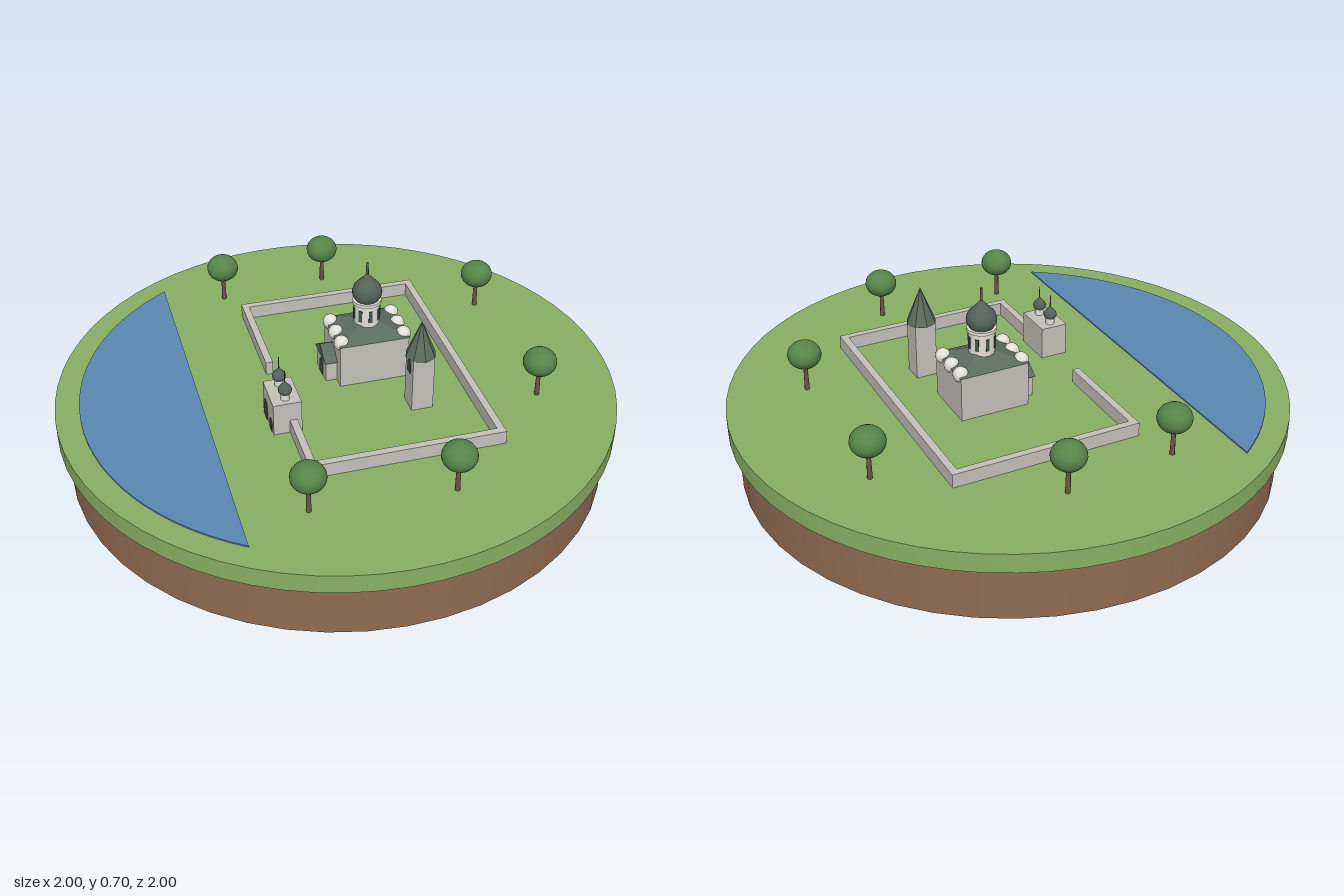
import * as THREE from 'three';

const mat = (name, color, opts = {}) => {
  const m = new THREE.MeshStandardMaterial({ color, ...opts });
  m.name = name;
  return m;
};

export function createModel() {
  const M = {
    soil: mat('soil', 0x8f6b52),
    grass: mat('grass', 0x88af64),
    water: mat('water', 0x5b87b3),
    stone: mat('stone', 0xc4c1ba),
    plaster: mat('plaster', 0xe4e1da),
    roof: mat('roof', 0x5c6b60, { flatShading: true }),
    dome: mat('dome', 0x55625a),
    opening: mat('opening', 0x46524c),
    bark: mat('bark', 0x6b5744),
    leaf: mat('leaf', 0x568549),
  };
  const model = new THREE.Group();
  model.name = 'islandMonastery';

  // Small helpers: y is the underside of the part
  const add = (parent, name, geo, material, x = 0, y = 0, z = 0) => {
    const mesh = new THREE.Mesh(geo, material);
    mesh.name = name;
    mesh.position.set(x, y, z);
    parent.add(mesh);
    return mesh;
  };
  const group = (parent, name, x, y, z) => {
    const g = new THREE.Group();
    g.name = name;
    g.position.set(x, y, z);
    parent.add(g);
    return g;
  };
  const box = (parent, name, material, w, h, d, x, y, z) =>
    add(parent, name, new THREE.BoxGeometry(w, h, d), material, x, y + h / 2, z);
  const cyl = (parent, name, material, r0, r1, h, n, x, y, z) =>
    add(parent, name, new THREE.CylinderGeometry(r1, r0, h, n), material, x, y + h / 2, z);

  // Thin arched plate for doors and windows
  const arch = (parent, name, w, h, x, y, z) => {
    const s = new THREE.Shape();
    s.moveTo(-w / 2, 0);
    s.lineTo(w / 2, 0);
    s.lineTo(w / 2, h - w / 2);
    s.absarc(0, h - w / 2, w / 2, 0, Math.PI, false);
    const geo = new THREE.ExtrudeGeometry(s, { depth: 0.006, bevelEnabled: false, curveSegments: 10 });
    return add(parent, name, geo, M.opening, x, y, z - 0.003);
  };

  // Onion dome with a spike on top
  const onion = (parent, r, h, spike, x, y, z) => {
    const profile = [[0.75, 0], [0.95, 0.15], [1, 0.32], [0.88, 0.5], [0.55, 0.68], [0.22, 0.84], [0, 1]]
      .map(([a, b]) => new THREE.Vector2(a * r, b * h));
    add(parent, 'onionDome', new THREE.LatheGeometry(profile, 20), M.dome, x, y, z);
    cyl(parent, 'spike', M.bark, r * 0.1, r * 0.08, spike + h * 0.1, 6, x, y + h * 0.9, z);
  };

  // Ground disc
  cyl(model, 'soilBase', M.soil, 0.97, 0.97, 0.2, 48, 0, 0, 0);
  cyl(model, 'grassTop', M.grass, 1, 1, 0.07, 64, 0, 0.2, 0);

  // Lake: a circle segment facing the front left
  const lakeShape = new THREE.Shape();
  const mid = -Math.PI * 110 / 180;
  lakeShape.absarc(0, 0, 0.915, mid - 1, mid + 1, false);
  lakeShape.closePath();
  const lakeGeo = new THREE.ExtrudeGeometry(lakeShape, { depth: 0.006, bevelEnabled: false, curveSegments: 14 });
  lakeGeo.rotateX(-Math.PI / 2);
  add(model, 'lake', lakeGeo, M.water, 0, 0.269, 0);

  // Walled yard, turned by 20 degrees
  const yard = group(model, 'yard', 0.033, 0.27, -0.105);
  yard.rotation.y = -Math.PI / 9;
  const W = 0.5, D = 0.33, T = 0.026, H = 0.05;
  box(yard, 'backWall', M.stone, 2 * W + T, H, T, 0, 0, -D);
  for (const s of [-1, 1]) box(yard, 'sideWall', M.stone, T, H, 2 * D + T, s * W, 0, 0);
  box(yard, 'frontWallRight', M.stone, W - 0.1 + T / 2, H, T, -(W + 0.1 + T / 2) / 2, 0, D);
  box(yard, 'frontWallLeft', M.stone, W - 0.24, H, T, (W + 0.24) / 2, 0, D);

  // Gatehouse with twin cupolas
  const gate = group(yard, 'gatehouse', 0.179, 0, 0.35);
  box(gate, 'gateBody', M.stone, 0.152, 0.12, 0.1, 0, 0, 0);
  arch(gate, 'gateArch', 0.046, 0.07, -0.035, 0, 0.05);
  arch(gate, 'gateDoor', 0.032, 0.045, 0.04, 0, 0.05);
  for (const x of [-0.042, 0.042]) {
    cyl(gate, 'cupolaDrum', M.plaster, 0.016, 0.016, 0.025, 12, x, 0.12, 0);
    onion(gate, 0.024, 0.05, 0.04, x, 0.143, 0);
  }

  // Church
  const church = group(yard, 'church', -0.06, 0, -0.023);
  box(church, 'nave', M.stone, 0.21, 0.165, 0.255, 0, 0, 0);
  const hip = new THREE.CylinderGeometry(0.045, Math.SQRT1_2, 1, 4);
  hip.rotateY(Math.PI / 4);
  hip.scale(0.215, 0.045, 0.26);
  add(church, 'naveRoof', hip, M.roof, 0, 0.1875, 0);
  for (const z of [-0.115, 0.115])
    for (const x of [-0.073, 0, 0.073])
      add(church, 'roundGable', new THREE.SphereGeometry(0.028, 12, 8), M.plaster, x, 0.165, z);

  // Drum, slit windows and main dome
  cyl(church, 'drum', M.plaster, 0.047, 0.047, 0.11, 20, 0, 0.175, 0);
  cyl(church, 'drumCornice', M.plaster, 0.052, 0.052, 0.012, 20, 0, 0.275, 0);
  for (let i = 0; i < 8; i++) {
    const a = i * Math.PI / 4;
    const slit = box(church, 'drumWindow', M.opening, 0.013, 0.045, 0.008,
      Math.sin(a) * 0.045, 0.213, Math.cos(a) * 0.045);
    slit.rotation.y = a;
  }
  onion(church, 0.054, 0.11, 0.038, 0, 0.285, 0);

  // Gabled porch
  box(church, 'porch', M.stone, 0.115, 0.08, 0.042, 0, 0, 0.147);
  const gable = new THREE.Shape([[-0.069, 0], [0.069, 0], [0, 0.045]].map(([x, y]) => new THREE.Vector2(x, y)));
  add(church, 'porchRoof', new THREE.ExtrudeGeometry(gable, { depth: 0.052, bevelEnabled: false }),
    M.roof, 0, 0.08, 0.122);
  arch(church, 'porchDoor', 0.04, 0.06, 0, 0, 0.168);

  // Bell tower
  const tower = group(yard, 'bellTower', 0.212, 0, -0.134);
  box(tower, 'towerBody', M.stone, 0.078, 0.205, 0.078, 0, 0, 0);
  add(tower, 'towerSpire', new THREE.ConeGeometry(0.055, 0.135, 8), M.roof, 0, 0.2725, 0);
  arch(tower, 'towerWindow', 0.03, 0.05, 0, 0.14, 0.039);

  // Trees
  for (const [x, z] of [[-0.1, -0.745], [0.485, -0.53], [-0.61, -0.37], [-0.715, 0.03], [0.72, 0.037], [0.525, 0.485]]) {
    const tree = group(model, 'tree', x, 0.27, z);
    cyl(tree, 'trunk', M.bark, 0.009, 0.007, 0.11, 8, 0, 0, 0);
    const crown = add(tree, 'crown', new THREE.SphereGeometry(0.06, 20, 14), M.leaf, 0, 0.14, 0);
    crown.scale.y = 0.85;
  }
  return model;
}
